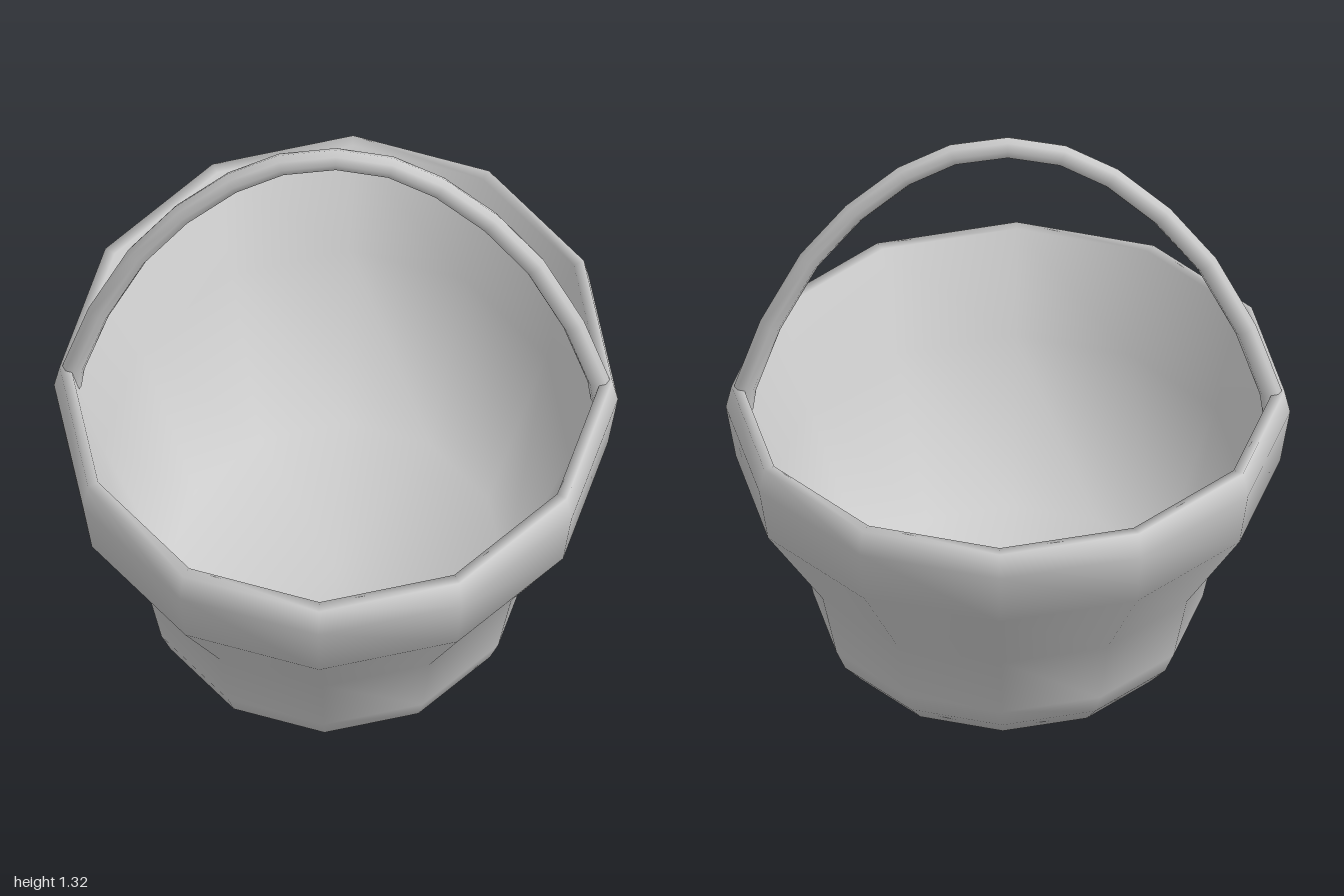
import * as THREE from 'three';

const material = new THREE.MeshStandardMaterial({ color: 0xcccccc, side: THREE.DoubleSide });

// Thick-walled oval bowl: a twelve-sided lathe squeezed in x
function createBasket() {
  const profile = [
    // underside and outer wall
    [0, 0], [0.59, 0], [0.655, 0.045], [0.69, 0.095],
    [0.745, 0.25], [0.965, 0.46], [1, 0.59],
    // flat rim
    [0.98, 0.645], [0.94, 0.645],
    // inner wall and floor
    [0.83, 0.41], [0.6, 0.06], [0, 0.06],
  ].map(([r, y]) => new THREE.Vector2(r, y));
  const geometry = new THREE.LatheGeometry(profile, 12);
  geometry.scale(0.685, 1, 1);
  const basket = new THREE.Mesh(geometry, material);
  basket.name = 'basketBowl';
  return basket;
}

// Arched handle whose ends sink into the rim walls
function createHandle() {
  const half = [
    [0.133, 1.268], [0.252, 1.21], [0.375, 1.11], [0.483, 0.983],
    [0.577, 0.81], [0.637, 0.645], [0.645, 0.59],
  ];
  const points = [
    ...half.map(([x, y]) => [-x, y]).reverse(), [0, 1.288], ...half,
  ].map(([x, y]) => new THREE.Vector3(x, y, 0));
  const curve = new THREE.CatmullRomCurve3(points);
  // Sample exactly at the control points
  curve.getPointAt = (t, target) => curve.getPoint(t, target);
  curve.getTangentAt = (t, target) => curve.getTangent(t, target);
  const handle = new THREE.Mesh(
    new THREE.TubeGeometry(curve, points.length - 1, 0.027, 8), material);
  handle.name = 'handle';
  handle.position.z = -0.003;
  return handle;
}

export function createModel() {
  const model = new THREE.Group();
  model.name = 'basket';
  model.add(createBasket(), createHandle());
  return model;
}
